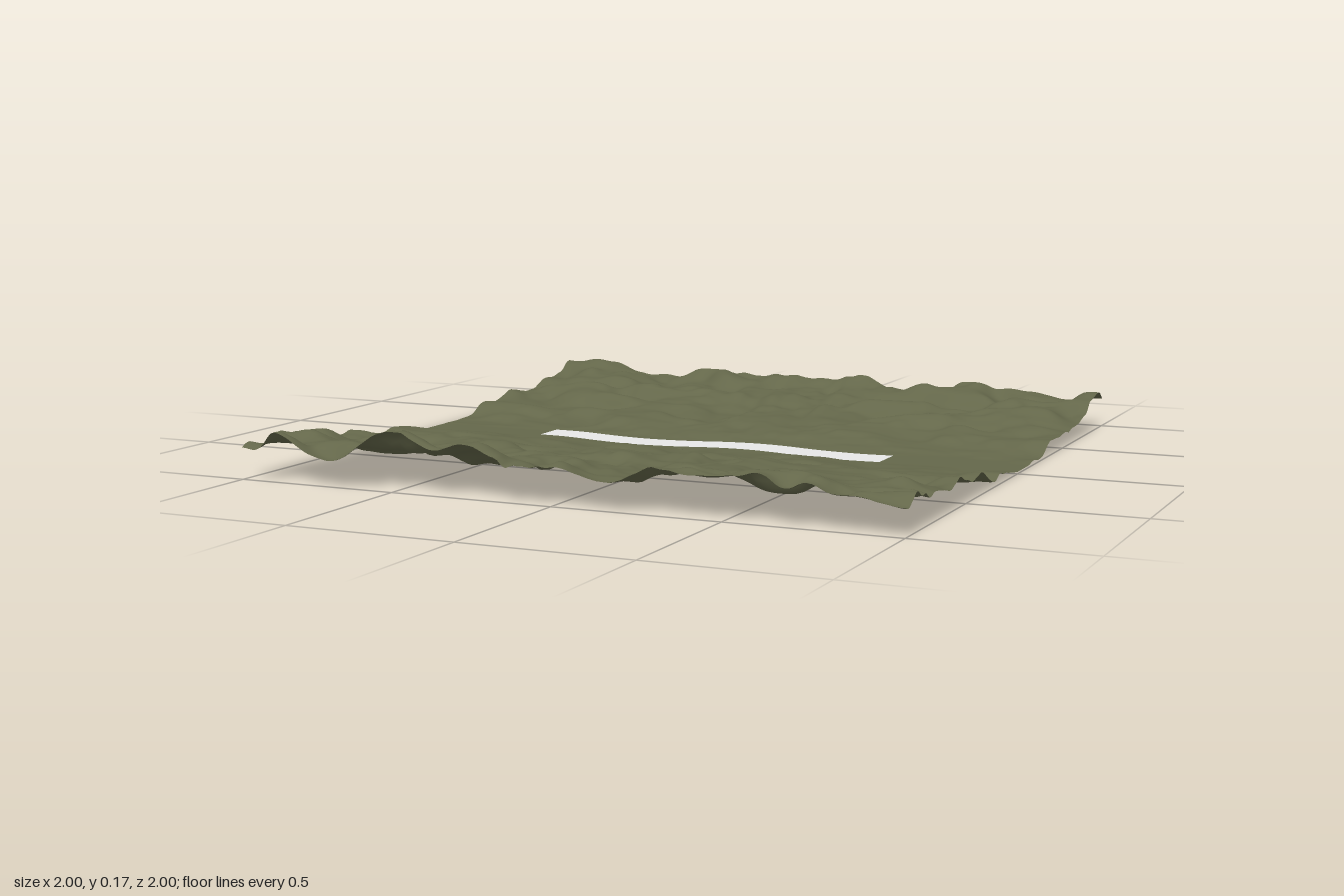
import * as THREE from 'three';

const GROUND_Y = 0.006;

const groundMaterial = new THREE.MeshStandardMaterial({ color: 0x64674a, side: THREE.DoubleSide });
groundMaterial.name = 'mossy ground';
const pathMaterial = new THREE.MeshStandardMaterial({ color: 0xe8e8e8 });
pathMaterial.name = 'pale path';

// Repeatable lattice value in -1..1
function hash(i, j) {
  let h = Math.imul(i, 374761393) + Math.imul(j, 668265263) + 1013;
  h = Math.imul(h ^ (h >>> 13), 1274126177);
  return (((h ^ (h >>> 16)) >>> 0) / 4294967295) * 2 - 1;
}

const fade = (t) => t * t * t * (t * (t * 6 - 15) + 10);
const lerp = THREE.MathUtils.lerp;

function noise(x, z) {
  const i = Math.floor(x), j = Math.floor(z);
  const u = fade(x - i), v = fade(z - j);
  return lerp(lerp(hash(i, j), hash(i + 1, j), u), lerp(hash(i, j + 1), hash(i + 1, j + 1), u), v);
}

function layeredNoise(x, z) {
  return 0.75 * noise(x, z) + 0.25 * noise(x * 2.1 + 17, z * 2.1 + 5);
}

// Rounded summits along the front edge and at the back corner: x, z, height, radius
const peaks = [
  [-0.53, 0.97, 0.05, 0.1], [-0.25, 0.97, 0.045, 0.07], [0, 0.95, 0.02, 0.07],
  [0.34, 0.9, 0.035, 0.07], [-1, -1, 0.03, 0.1],
];

// Flat valley floor, with rougher and higher hills toward the front and back
function terrainHeight(x, z) {
  const d = Math.max(0, z > 0 ? z - 0.01 : -0.12 - z);
  if (d === 0) return GROUND_Y;
  const warp = 0.04 * noise(x * 5 + 50, z * 5 + 50);
  const wide = layeredNoise((x + warp) * 7 + 20, (z + warp) * 11 + 20);
  const steep = layeredNoise((x + warp) * 16 + 70, (z + warp) * 7 + 70);
  const middle = 1 - THREE.MathUtils.smoothstep(Math.abs(x), 0.15, 0.35);
  const bumps = lerp(wide, 0.6 * wide + 0.45 * steep, middle);
  let y = GROUND_Y + 0.103 * d + 0.046 * Math.pow(d, 0.5) * bumps;
  for (const [px, pz, height, radius] of peaks) {
    y += height * Math.exp(-((x - px) ** 2 + (z - pz) ** 2) / radius ** 2);
  }
  return THREE.MathUtils.clamp(y, GROUND_Y, 0.17);
}

function makeTerrain() {
  const geometry = new THREE.PlaneGeometry(2, 2, 160, 160).rotateX(-Math.PI / 2);
  const p = geometry.attributes.position;
  for (let k = 0; k < p.count; k++) p.setY(k, terrainHeight(p.getX(k), p.getZ(k)));
  geometry.computeVertexNormals();
  const mesh = new THREE.Mesh(geometry, groundMaterial);
  mesh.name = 'terrain';
  return mesh;
}

// Level winding strip laid just above the valley floor, following a centre line of x, z points
function makePath() {
  const centreLine = new THREE.SplineCurve([
    [-0.585, -0.071], [-0.48, -0.066], [-0.35, -0.038], [-0.23, -0.024], [-0.1, -0.036], [0.02, -0.066],
    [0.12, -0.076], [0.22, -0.066], [0.35, -0.037], [0.48, -0.025], [0.585, -0.033],
  ].map(([x, z]) => new THREE.Vector2(x, z)));
  const geometry = new THREE.PlaneGeometry(1, 1, 64, 1).rotateX(-Math.PI / 2);
  const p = geometry.attributes.position;
  for (let k = 0; k < p.count; k++) {
    const t = p.getX(k) + 0.5;
    const centre = centreLine.getPoint(t);
    p.setXYZ(k, centre.x, GROUND_Y + 0.004, centre.y + p.getZ(k) * lerp(0.108, 0.125, t));
  }
  const mesh = new THREE.Mesh(geometry, pathMaterial);
  mesh.name = 'path';
  return mesh;
}

// Small half-buried stone beside the path
function makeStone() {
  const mesh = new THREE.Mesh(new THREE.IcosahedronGeometry(1, 1), groundMaterial);
  mesh.scale.set(0.012, 0.006, 0.005);
  mesh.position.set(-0.06, 0.006, 0.052);
  mesh.name = 'stone';
  return mesh;
}

export function createModel() {
  const model = new THREE.Group();
  model.name = 'valley landscape';
  model.add(makeTerrain(), makePath(), makeStone());
  return model;
}
